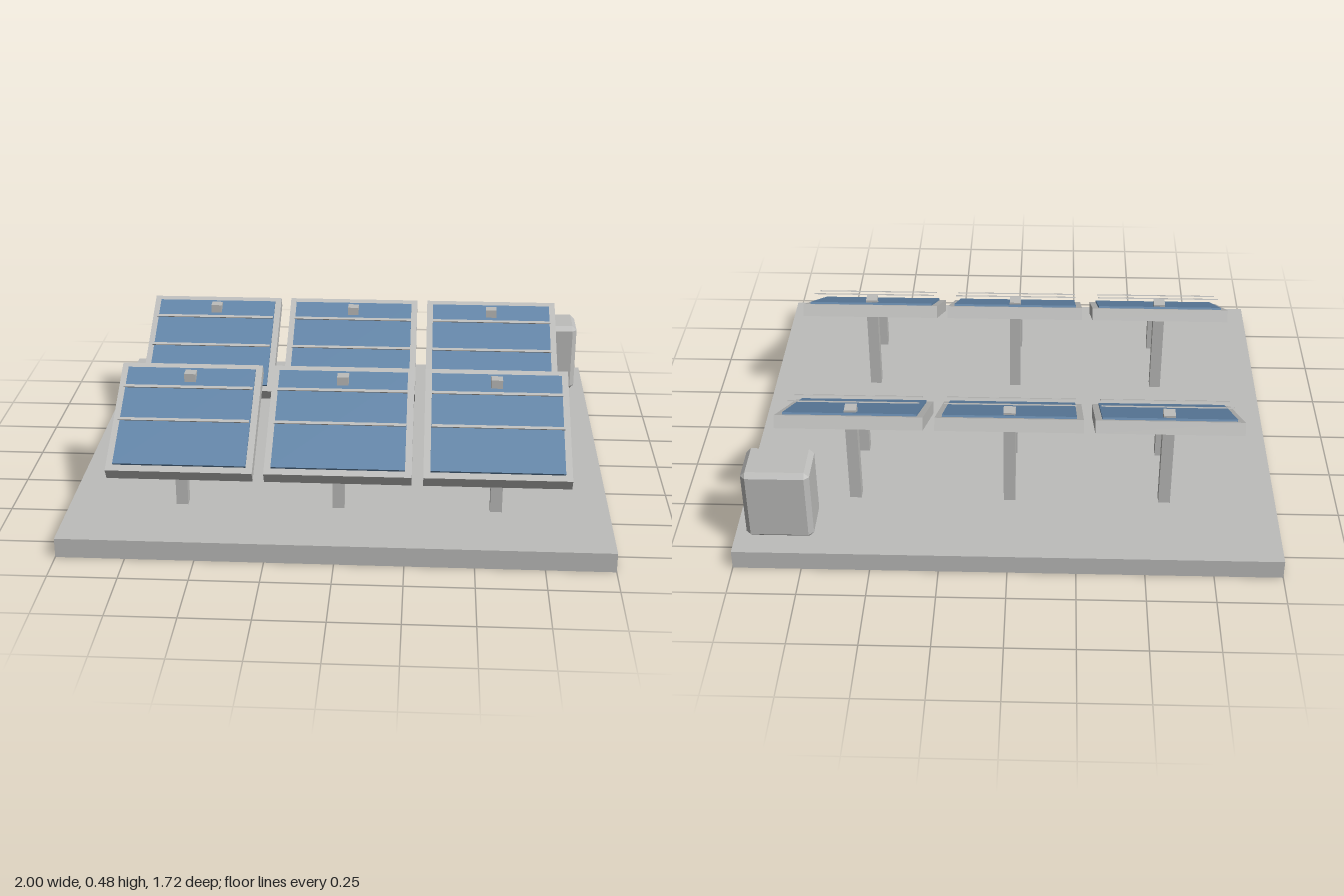
import * as THREE from 'three';
import { ConvexGeometry } from 'three/addons/geometries/ConvexGeometry.js';

const grey = new THREE.MeshStandardMaterial({ color: 0xbdbdbb });
grey.name = 'light grey';
const blue = new THREE.MeshStandardMaterial({ color: 0x6285a8 });
blue.name = 'cell blue';

const TILT = 0.5;

function box(parent, name, material, [w, h, d], [x, y, z]) {
  const mesh = new THREE.Mesh(new THREE.BoxGeometry(w, h, d), material);
  mesh.name = name;
  mesh.position.set(x, y, z);
  parent.add(mesh);
  return mesh;
}

// Box with every edge cut by a single flat chamfer
function chamferedBox(w, h, d, c) {
  const points = [];
  for (const sx of [-1, 1]) for (const sy of [-1, 1]) for (const sz of [-1, 1]) {
    const x = w / 2, y = h / 2, z = d / 2;
    points.push(
      new THREE.Vector3(sx * x, sy * (y - c), sz * (z - c)),
      new THREE.Vector3(sx * (x - c), sy * y, sz * (z - c)),
      new THREE.Vector3(sx * (x - c), sy * (y - c), sz * z));
  }
  return new ConvexGeometry(points);
}

// One tilted panel on a short front post and a tall rear post
function createPanel(x, z) {
  const unit = new THREE.Group();
  unit.name = 'solarUnit';
  unit.position.set(x, 0, z);

  // The rear post reaches just through the panel face
  box(unit, 'frontPost', grey, [0.044, 0.18, 0.044], [0, 0.16, 0.147]);
  box(unit, 'rearPost', grey, [0.044, 0.407, 0.044], [0, 0.2735, -0.146]);

  const panel = new THREE.Group();
  panel.name = 'panel';
  panel.position.y = 0.34;
  panel.rotation.x = TILT;
  box(panel, 'frame', grey, [0.54, 0.048, 0.51], [0, 0, 0]);
  box(panel, 'cells', blue, [0.49, 0.008, 0.456], [0, 0.028, 0]);
  // Thin cross strips held clear of the cells
  box(panel, 'lowerStrip', grey, [0.49, 0.004, 0.012], [0, 0.065, 0.047]);
  box(panel, 'upperStrip', grey, [0.49, 0.004, 0.012], [0, 0.06, -0.113]);
  unit.add(panel);
  return unit;
}

export function createModel() {
  const model = new THREE.Group();
  model.name = 'solarArray';

  // Ground slab
  box(model, 'base', grey, [2, 0.074, 1.724], [0, 0.037, 0]);

  // Two rows of three panels
  for (const z of [0.4, -0.366]) {
    for (const x of [-0.582, 0, 0.582]) model.add(createPanel(x, z));
  }

  // Inverter cabinet with a small display on its front
  const inverter = new THREE.Group();
  inverter.name = 'inverter';
  inverter.position.set(0.833, 0.219, -0.692);
  const cabinet = new THREE.Mesh(chamferedBox(0.248, 0.29, 0.178, 0.018), grey);
  cabinet.name = 'cabinet';
  inverter.add(cabinet);
  box(inverter, 'display', grey, [0.058, 0.05, 0.02], [0, 0.085, 0.094]);
  model.add(inverter);

  return model;
}
